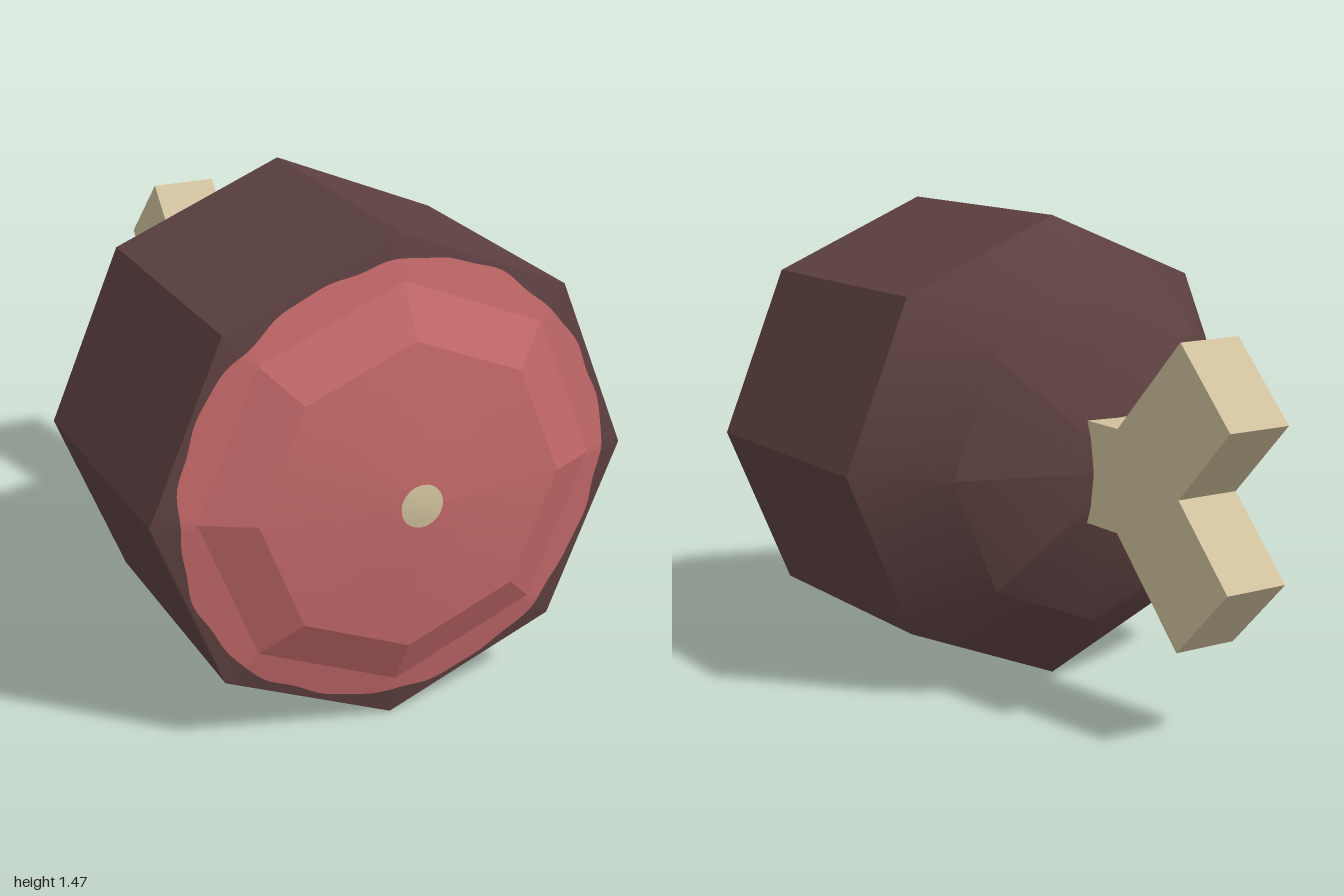
import * as THREE from 'three';
import { toCreasedNormals } from 'three/addons/utils/BufferGeometryUtils.js';

const CENTER_Y = 0.737, RIM = 0.737;

// radius of a unit octagon (corners on the axes) at an angle
const octagon = (a) => {
  const step = Math.PI / 4;
  const local = ((a % step) + step) % step;
  return Math.cos(step / 2) / Math.cos(local - step / 2);
};

// depth of the domed front for a given octagon size
const dome = [[0, 1], [0.463, 0.935], [0.61, 0.858], [RIM, 0.828]];
const domeZ = (s) => {
  for (let i = 1; i < dome.length; i++) {
    const [s0, z0] = dome[i - 1], [s1, z1] = dome[i];
    if (s <= s1) return z0 + (z1 - z0) * (s - s0) / (s1 - s0);
  }
  return dome[dome.length - 1][1];
};

// wavy round edge between flesh and skin, as an octagon size
const wavyEdge = (a) => {
  const r = 0.661 + 0.005 * Math.sin(5 * a + 1) + 0.004 * Math.sin(13 * a)
    + 0.003 * Math.sin(23 * a + 2);
  return Math.min(r / octagon(a), RIM - 0.006);
};

// surface through rings, each ring a function angle -> [octagon size, z]
function skin(rings, segments, crease) {
  const pos = [];
  const point = (ring, j) => {
    const a = (j % segments) / segments * Math.PI * 2;
    const [s, z] = ring(a);
    const r = s * octagon(a);
    return [r * Math.cos(a), CENTER_Y + r * Math.sin(a), z];
  };
  const same = (p, q) => Math.hypot(p[0] - q[0], p[1] - q[1], p[2] - q[2]) < 1e-6;
  const tri = (a, b, c) => {
    if (!same(a, b) && !same(b, c) && !same(a, c)) pos.push(...a, ...b, ...c);
  };
  for (let i = 1; i < rings.length; i++) {
    for (let j = 0; j < segments; j++) {
      const a = point(rings[i - 1], j), b = point(rings[i - 1], j + 1);
      const c = point(rings[i], j), d = point(rings[i], j + 1);
      tri(a, c, d);
      tri(a, d, b);
    }
  }
  const geo = new THREE.BufferGeometry();
  geo.setAttribute('position', new THREE.Float32BufferAttribute(pos, 3));
  return toCreasedNormals(geo, crease);
}

const flatRing = (s, z) => () => [s, z];
const domeRing = (s) => flatRing(s, domeZ(s));
const edgeRing = (a) => { const s = wavyEdge(a); return [s, domeZ(s)]; };

export function createModel() {
  const group = new THREE.Group();
  const material = (name, color) => {
    const m = new THREE.MeshStandardMaterial({ color });
    m.name = name;
    return m;
  };
  const brown = material('brown skin', 0x5d4040);
  const pink = material('pink flesh', 0xc26868);
  const cream = material('cream bone', 0xcfc09d);

  const add = (name, geometry, mat) => {
    const mesh = new THREE.Mesh(geometry, mat);
    mesh.name = name;
    group.add(mesh);
  };

  // octagonal skin, tapering to a blunt point at the back
  add('skinBody', skin([
    flatRing(RIM, domeZ(RIM)), flatRing(RIM, 0.01),
    flatRing(0.508, -0.22), flatRing(0, -0.4),
  ], 8, 0.6), brown);
  add('skinRim', skin([edgeRing, domeRing(RIM)], 192, 0.3), brown);

  // cut face
  add('fleshFace', skin([domeRing(0), domeRing(0.463), domeRing(0.61)], 8, 0.25), pink);
  add('fleshEdge', skin([domeRing(0.61), edgeRing], 192, 0.25), pink);

  // round bone end set in the cut face
  const marrowEdge = (a) => {
    const s = 0.064 / octagon(a);
    return [s, domeZ(s) + 0.002];
  };
  add('boneCenter', skin([flatRing(0, 1.002), marrowEdge], 32, 0.3), cream);

  // forked bone: outline in (z, y from centre), extruded across x
  const half = [[-0.25, 0.157], [-0.482, 0.157], [-0.775, 0.45], [-1, 0.228]];
  const outline = [
    ...half, [-0.775, 0],
    ...half.slice().reverse().map(([z, y]) => [z, -y]),
  ].map(([z, y]) => new THREE.Vector2(-z, y));
  const bone = new THREE.ExtrudeGeometry(new THREE.Shape(outline), { depth: 0.208, bevelEnabled: false });
  bone.translate(0, 0, -0.104);
  bone.rotateY(Math.PI / 2);
  bone.translate(0, CENTER_Y, 0);
  add('forkedBone', bone, cream);

  return group;
}
